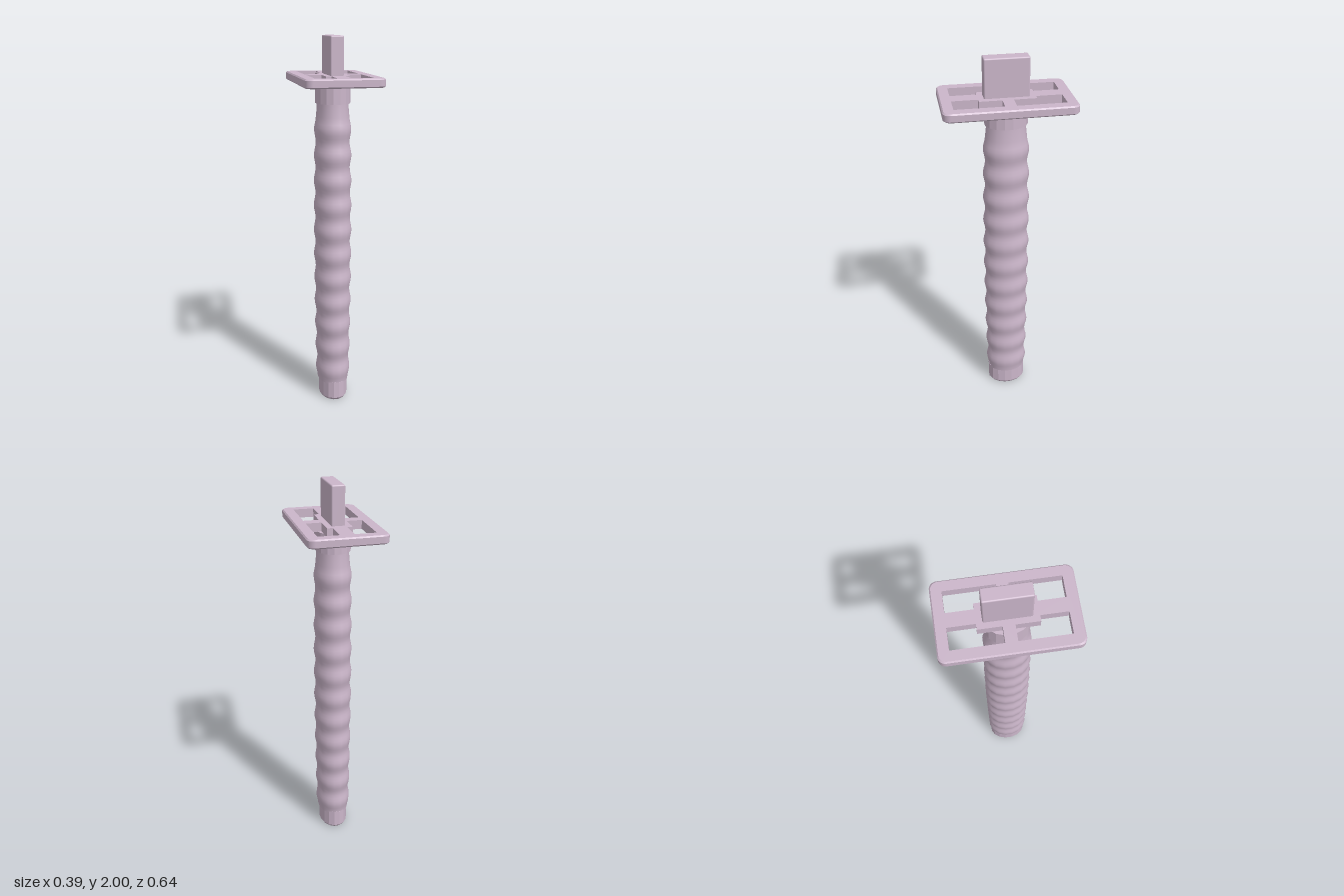
import * as THREE from 'three';
import { RoundedBoxGeometry } from 'three/addons/geometries/RoundedBoxGeometry.js';

const SIDES = 16;
const DEPTH_RATIO = 1.22; // oval section, deeper along z

export function createModel() {
  const group = new THREE.Group();
  const mauve = new THREE.MeshStandardMaterial({ color: 0xcbb6ca });
  mauve.name = 'paleMauve';

  const add = (name, geometry) => {
    const mesh = new THREE.Mesh(geometry, mauve);
    mesh.name = name;
    group.add(mesh);
    return mesh;
  };
  // Oval turned part from [radius, y] pairs
  const oval = (profile, ratio, flat) => {
    const points = profile.map(([r, y]) => new THREE.Vector2(r, y));
    let g = new THREE.LatheGeometry(points, SIDES, Math.PI / SIDES);
    g.scale(1, 1, ratio);
    if (flat) {
      g = g.toNonIndexed();
      g.computeVertexNormals();
    }
    return g;
  };

  // Pommel with chamfered foot
  add('pommel', oval([[0, 0], [0.071, 0], [0.079, 0.014], [0.079, 0.11], [0, 0.11]], 1.35, true));

  // Wavy grip, swelling towards the middle
  const pitch = 0.136, first = 0.17, last = first + 10 * pitch;
  const grip = [];
  for (let i = 0; i <= 84; i++) {
    const y = 0.102 + (last + pitch / 2 - 0.102) * i / 84;
    const swell = 0.007 * Math.sin(Math.PI * (y - 0.1) / 1.56);
    const wave = 0.0045 * Math.cos(2 * Math.PI * (y - first) / pitch);
    grip.push([0.0895 + swell + wave, y]);
  }
  grip.push([0.082, 1.64], [0.081, 1.68]);
  add('grip', oval(grip, DEPTH_RATIO, false));
  add('gripEnd', oval([[0, 0.102], [grip[0][0], 0.102]], DEPTH_RATIO, true));

  // Collar under the guard
  add('collar', oval([[0, 1.665], [0.09, 1.665], [0.09, 1.766], [0, 1.766]], 1.2, true));

  // Rounded rectangular guard with four cut-outs
  const W = 0.196, D = 0.322, R = 0.036, inset = 0.006;
  const plate = new THREE.Shape();
  plate.moveTo(W, -D + R);
  plate.lineTo(W, D - R);
  plate.absarc(W - R, D - R, R, 0, Math.PI / 2);
  plate.absarc(-W + R, D - R, R, Math.PI / 2, Math.PI);
  plate.absarc(-W + R, -D + R, R, Math.PI, Math.PI * 1.5);
  plate.absarc(W - R, -D + R, R, Math.PI * 1.5, Math.PI * 2);
  const cutout = [[0.035, 0.268], [0.141, 0.268], [0.141, 0.028], [0.063, 0.028], [0.063, 0.14], [0.035, 0.14]];
  for (const sx of [-1, 1]) for (const sz of [-1, 1]) {
    plate.holes.push(new THREE.Path(cutout.map(([x, z]) => new THREE.Vector2(x * sx, z * sz))));
  }
  const height = 0.044;
  const guard = new THREE.ExtrudeGeometry(plate, { depth: height, steps: 7, bevelEnabled: false, curveSegments: 6 });
  // Chamfer only the outer rim
  const p = guard.attributes.position;
  for (let i = 0; i < p.count; i++) {
    const x = p.getX(i), y = p.getY(i), z = p.getZ(i);
    const atEnd = z < 0.001 || z > height - 0.001;
    if (atEnd && (Math.abs(x) > 0.15 || Math.abs(y) > 0.28)) {
      p.setXY(i, x * (1 - inset / W), y * (1 - inset / D));
    }
  }
  guard.rotateX(-Math.PI / 2);
  guard.computeVertexNormals();
  add('guard', guard).position.y = 1.764;

  // Upright block above the guard
  add('bladeStub', new RoundedBoxGeometry(0.068, 0.22, 0.222, 2, 0.007)).position.y = 1.89;

  return group;
}
